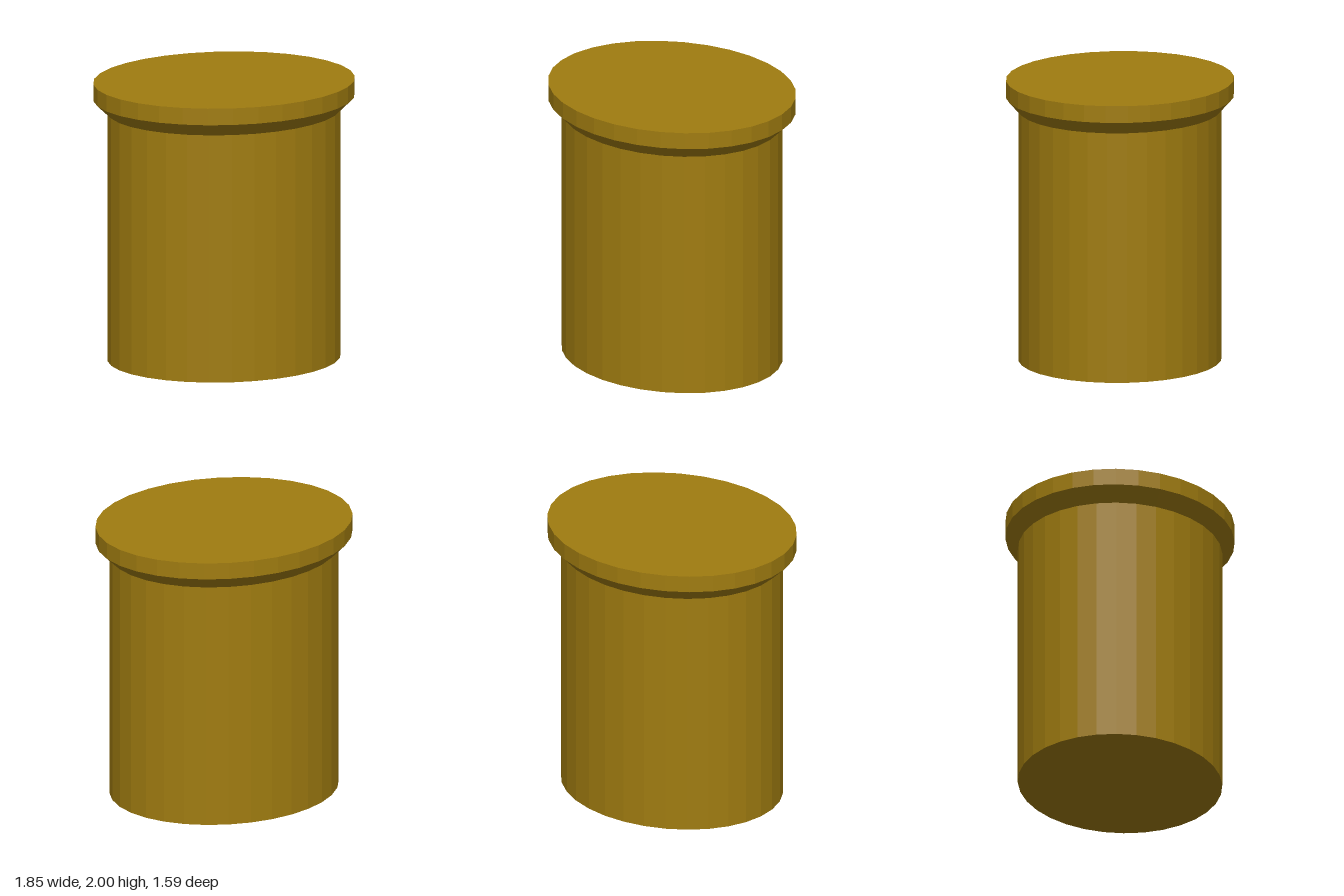
import * as THREE from 'three';

const SIDES = 32;
const DEPTH = 0.86; // oval: depth relative to width
const BODY_R = 0.827, RIM_R = 0.927;
const BODY_TOP = 1.785, RIM_BASE = 1.88, TOP = 2;

export function createModel() {
  const group = new THREE.Group();
  group.name = 'flangedPlug';
  const material = new THREE.MeshStandardMaterial({ color: 0xa07c10, flatShading: true });

  // Ring of walls between two heights, as an oval
  function wall(name, rBottom, rTop, y0, y1) {
    const geometry = new THREE.CylinderGeometry(rTop, rBottom, y1 - y0, SIDES, 1, true);
    geometry.scale(1, 1, DEPTH);
    geometry.translate(0, (y0 + y1) / 2, 0);
    add(name, geometry);
  }

  // Flat oval end, facing up (1) or down (-1)
  function cap(name, r, y, facing) {
    const geometry = new THREE.CircleGeometry(r, SIDES);
    geometry.rotateX(-facing * Math.PI / 2);
    geometry.scale(1, 1, DEPTH);
    geometry.translate(0, y, 0);
    add(name, geometry);
  }

  function add(name, geometry) {
    const mesh = new THREE.Mesh(geometry, material);
    mesh.name = name;
    group.add(mesh);
  }

  cap('bottomFace', BODY_R, 0, -1);
  wall('body', BODY_R, BODY_R, 0, BODY_TOP);
  wall('taperedCollar', BODY_R, RIM_R, BODY_TOP, RIM_BASE);
  wall('rim', RIM_R, RIM_R, RIM_BASE, TOP);
  cap('topFace', RIM_R, TOP, 1);

  return group;
}
